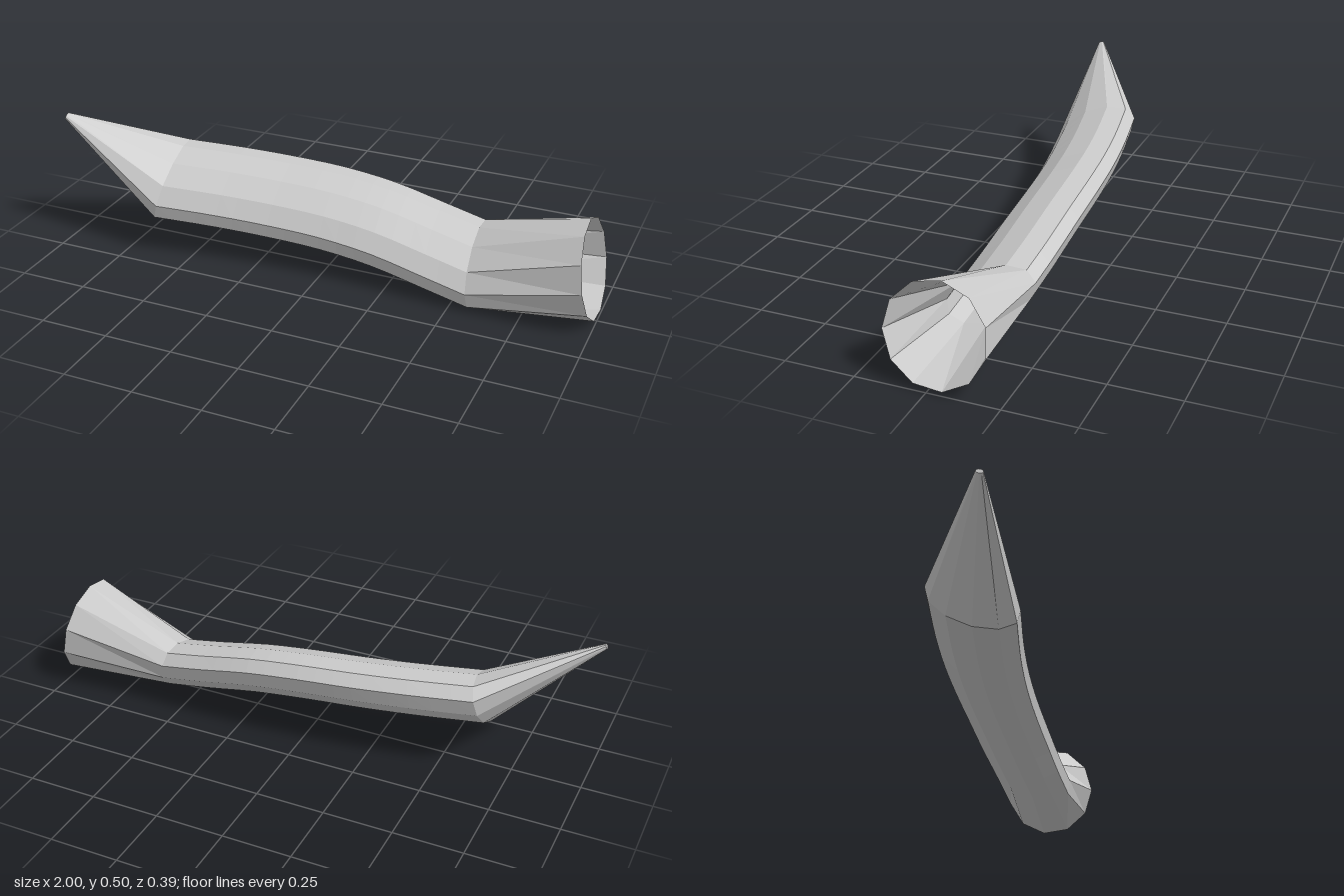
import * as THREE from 'three';

const SIDES = 11;
const PHASE = THREE.MathUtils.degToRad(-3);
const TILT = THREE.MathUtils.degToRad(60); // direction in which the oval body is flattened

// Ring of points: long radius a, short radius b, leaning along x by ky and kz
function ring(c, a, b, ky, kz) {
  return Array.from({ length: SIDES }, (_, i) => {
    const t = PHASE + (i / SIDES) * Math.PI * 2 - TILT;
    const v = b * Math.cos(t), u = a * Math.sin(t);
    const dz = v * Math.cos(TILT) - u * Math.sin(TILT);
    const dy = v * Math.sin(TILT) + u * Math.cos(TILT);
    return new THREE.Vector3(c.x + ky * dy + kz * dz, c.y + dy, c.z + dz);
  });
}

// Skin a list of rings
function loft(name, rings, material, capStart = false) {
  const pos = [], index = [];
  rings.forEach(r => r.forEach(p => pos.push(p.x, p.y, p.z)));
  for (let j = 0; j < rings.length - 1; j++) {
    for (let i = 0; i < SIDES; i++) {
      const k = (i + 1) % SIDES;
      const a = j * SIDES + i, b = j * SIDES + k;
      index.push(a, a + SIDES, b, b, a + SIDES, b + SIDES);
    }
  }
  if (capStart) for (let i = 1; i < SIDES - 1; i++) index.push(0, i, i + 1);
  const geo = new THREE.BufferGeometry();
  geo.setAttribute('position', new THREE.Float32BufferAttribute(pos, 3));
  geo.setIndex(index);
  geo.computeVertexNormals();
  const mesh = new THREE.Mesh(geo, material);
  mesh.name = name;
  return mesh;
}

export function createModel() {
  const group = new THREE.Group();
  group.name = 'hornTube';
  const material = new THREE.MeshStandardMaterial({
    color: 0xcccccc, flatShading: true, side: THREE.DoubleSide,
  });

  // Gently curved oval body
  const spine = new THREE.CatmullRomCurve3([
    [-0.625, 0.252, 0.035], [-0.4, 0.241, -0.002], [-0.2, 0.23, -0.025], [0, 0.217, -0.037],
    [0.2, 0.192, -0.038], [0.4, 0.15, -0.031], [0.558, 0.118, -0.022],
  ].map(p => new THREE.Vector3(...p)));
  const body = [];
  const STEPS = 18;
  for (let i = 0; i <= STEPS; i++) {
    const t = i / STEPS;
    const ky = THREE.MathUtils.lerp(0.24, -0.13, t);
    const kz = THREE.MathUtils.lerp(0.14, 0, t);
    body.push(ring(spine.getPoint(t), 0.177, 0.09, ky, kz));
  }
  group.add(loft('body', body, material));

  // Pointed end, tapering from the body to a tiny blunt tip
  const tip = ring(new THREE.Vector3(-0.997, 0.488, 0.149), 0.014, 0.009, 0.3, 0.1);
  group.add(loft('pointedTip', [tip, body[0]], material, true));

  // Flared open mouth, oval at the body and round at the rim
  const rim = ring(new THREE.Vector3(0.97, 0.189, -0.02), 0.178, 0.178, -0.17, 0);
  group.add(loft('flaredMouth', [body[STEPS], rim], material));

  return group;
}
